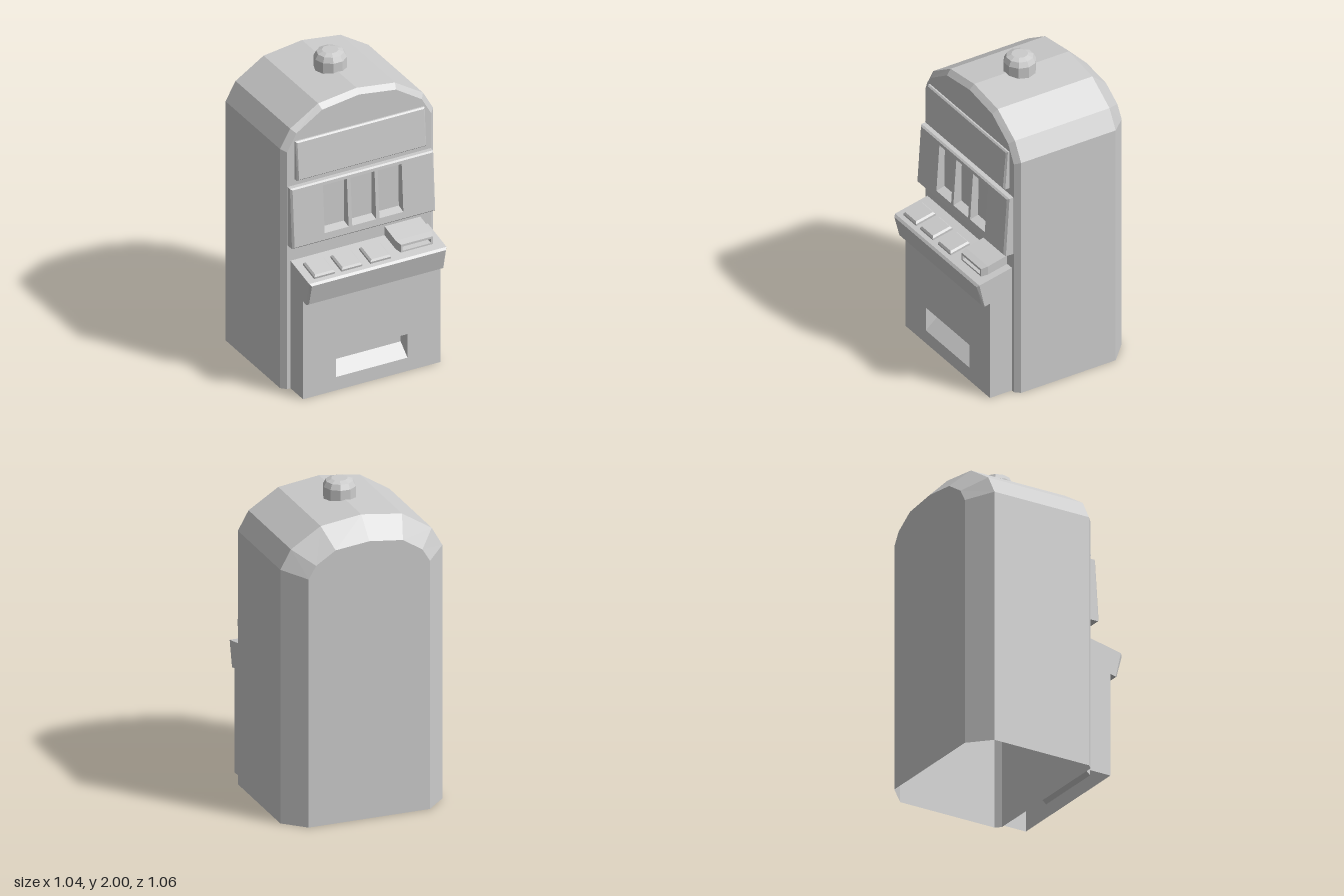
import * as THREE from 'three';

const grey = new THREE.MeshStandardMaterial({ color: 0xcccccc, flatShading: true, side: THREE.DoubleSide });

// Skin a list of [x, y, z] rings (counter-clockwise from +z), optionally capped, open along the last edge or pierced
function loft(name, rings, { start = false, end = true, open = false, holes = [] } = {}) {
  const pos = [];
  const tri = (...pts) => pts.forEach((p) => pos.push(...p));
  for (let k = 0; k + 1 < rings.length; k++) {
    const a = rings[k], b = rings[k + 1], n = a.length;
    for (let i = 0; i < (open ? n - 1 : n); i++) {
      const j = (i + 1) % n;
      tri(a[i], a[j], b[j]);
      tri(a[i], b[j], b[i]);
    }
  }
  const cap = (ring, cuts, flip) => {
    const v2 = (r) => r.map((p) => new THREE.Vector2(p[0], p[1]));
    const all = [ring, ...cuts].flat();
    for (const [i, j, k] of THREE.ShapeUtils.triangulateShape(v2(ring), cuts.map(v2))) {
      if (flip) tri(all[i], all[k], all[j]);
      else tri(all[i], all[j], all[k]);
    }
  };
  if (start) cap(rings[0], [], true);
  if (end) cap(rings[rings.length - 1], holes, false);
  const geo = new THREE.BufferGeometry();
  geo.setAttribute('position', new THREE.Float32BufferAttribute(pos, 3));
  geo.computeVertexNormals();
  const mesh = new THREE.Mesh(geo, grey);
  mesh.name = name;
  return mesh;
}

// Rectangle ring whose lower and upper edges may lie at different depths
const rect = (x0, x1, y0, y1, z0, z1 = z0) => [[x0, y0, z0], [x1, y0, z0], [x1, y1, z1], [x0, y1, z1]];

// Arched cabinet outline, mirrored from its +x half
function arch(half, z) {
  const right = half.map(([x, y]) => [x, y, z]);
  const left = right.slice(0, -1).reverse().map(([x, y]) => [-x, y, z]);
  return [...right, ...left];
}

export function createModel() {
  const model = new THREE.Group();
  model.name = 'slotMachine';

  // Cabinet: chamfered arch, open underneath
  const full = [[0.518, 0], [0.518, 1.62], [0.45, 1.74], [0.26, 1.86], [0, 1.895]];
  const frontEdge = [[0.488, 0], [0.488, 1.605], [0.425, 1.717], [0.25, 1.83], [0, 1.865]];
  const backEdge = [[0.388, 0], [0.388, 1.585], [0.34, 1.665], [0.215, 1.745], [0, 1.77]];
  model.add(loft('cabinet',
    [arch(backEdge, -0.53), arch(full, -0.405), arch(full, 0.258), arch(frontEdge, 0.29)],
    { start: true, open: true }));

  // Lower front with the payout chute
  const lower = new THREE.Group();
  lower.name = 'lowerFront';
  const chute = rect(-0.242, 0.242, 0.09, 0.25, 0.443);
  // corners run from lower right round the top, so the open edge is the bottom
  const lowerRing = (z) => [[0.465, 0, z], [0.465, 0.72, z], [-0.465, 0.72, z], [-0.465, 0, z]];
  lower.add(loft('lowerPanel', [lowerRing(0.29), lowerRing(0.443)], { open: true, holes: [chute] }));
  lower.add(loft('payoutChute', [chute, rect(-0.242, 0.242, 0.16, 0.25, 0.36)]));
  model.add(lower);

  // Header sign
  model.add(loft('headerSign', [
    rect(-0.438, 0.438, 1.41, 1.668, 0.28),
    rect(-0.438, 0.438, 1.412, 1.668, 0.318, 0.3),
    rect(-0.428, 0.428, 1.421, 1.66, 0.329, 0.309)]));

  // Tilted reel panel with three window recesses
  const reels = new THREE.Group();
  reels.name = 'reelPanel';
  const face = (y) => THREE.MathUtils.mapLinear(y, 0.985, 1.362, 0.355, 0.33);
  const windows = [-0.187, 0, 0.184].map((x) =>
    rect(x - 0.081, x + 0.081, 1.028, 1.342, face(1.028), face(1.342)));
  reels.add(loft('reelFrame', [
    rect(-0.485, 0.485, 0.973, 1.37, 0.28),
    rect(-0.485, 0.485, 0.975, 1.37, 0.344, 0.319),
    rect(-0.473, 0.473, 0.985, 1.362, face(0.985), face(1.362))], { holes: windows }));
  for (const w of windows) {
    reels.add(loft('reelWindow', [w, rect(w[0][0], w[1][0], 1.043, 1.333, 0.296, 0.293)]));
  }
  model.add(reels);

  // Sloping button console
  model.add(loft('console', [
    rect(-0.465, 0.465, 0.7, 0.867, 0.28),
    rect(-0.465, 0.465, 0.656, 0.817, 0.48, 0.517),
    rect(-0.453, 0.453, 0.664, 0.804, 0.494, 0.53)], { start: true }));

  // Push buttons lying on the console slope
  const pad = (h, z) => rect(-h, h, -h, h, z);
  for (const x of [-0.345, -0.16, 0.035]) {
    const button = loft('button', [pad(0.07, -0.01), pad(0.07, 0.014), pad(0.06, 0.025)]);
    button.position.set(x, 0.837, 0.42);
    button.rotation.x = -Math.PI / 2 + 0.21;
    model.add(button);
  }

  // Bill acceptor with a slot in its front
  const slot = rect(0.196, 0.39, 0.838, 0.866, 0.465);
  model.add(loft('billAcceptor', [
    rect(0.172, 0.415, 0.82, 0.927, 0.28),
    rect(0.172, 0.415, 0.81, 0.893, 0.425),
    rect(0.186, 0.402, 0.82, 0.88, 0.465)], { holes: [slot] }));
  model.add(loft('billSlot', [slot, rect(0.196, 0.39, 0.842, 0.866, 0.42)]));

  // Beacon on the roof
  const profile = [[0.1, 1.865], [0.1, 1.955], [0.083, 1.987], [0.05, 2], [0, 2]];
  const beacon = new THREE.Mesh(
    new THREE.LatheGeometry(profile.map(([r, y]) => new THREE.Vector2(r, y)), 10, Math.PI / 2), grey);
  beacon.name = 'beacon';
  beacon.position.z = -0.062;
  model.add(beacon);

  return model;
}
